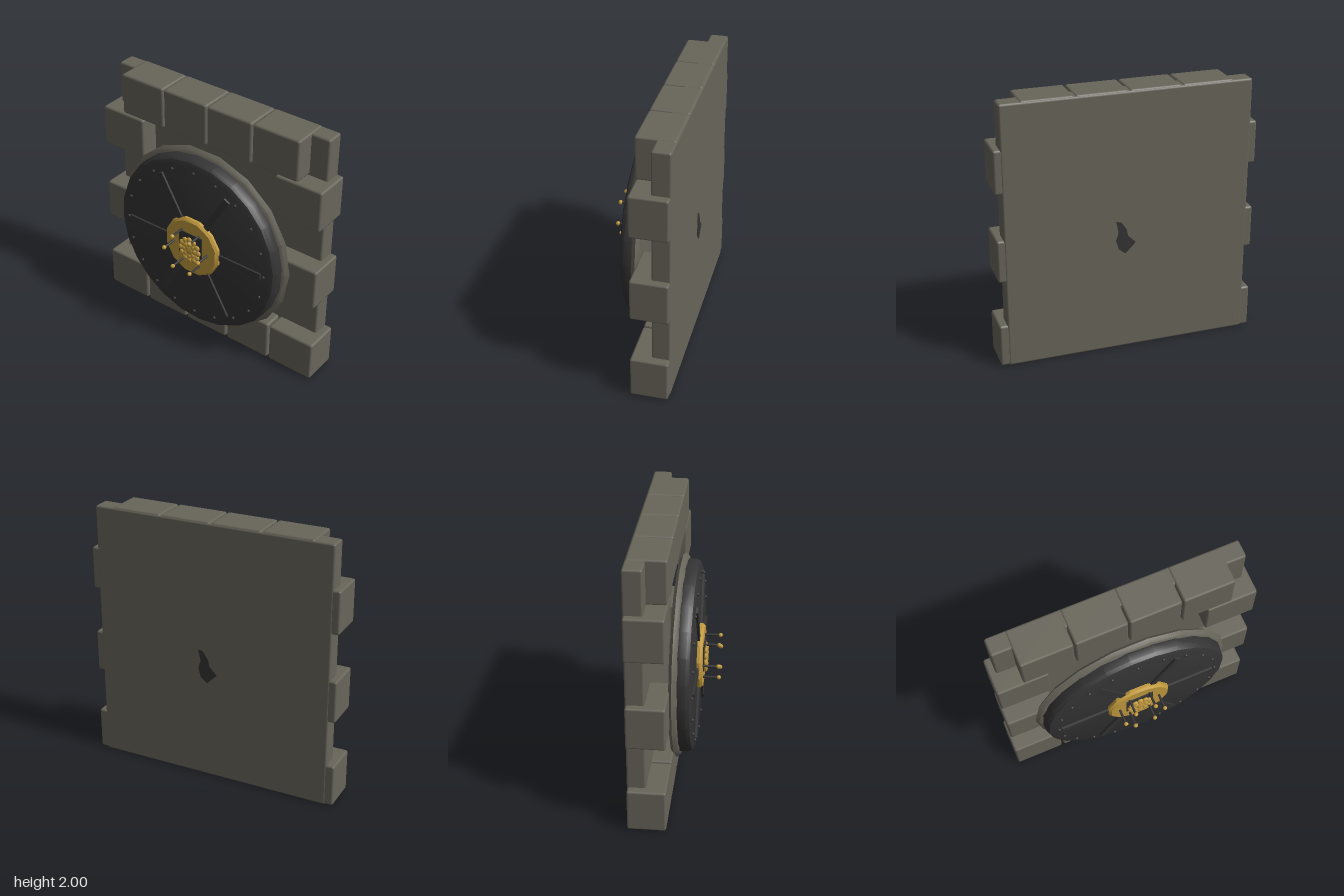
import * as THREE from 'three';
import { toCreasedNormals } from 'three/addons/utils/BufferGeometryUtils.js';
import { RoundedBoxGeometry } from 'three/addons/geometries/RoundedBoxGeometry.js';

const CY = 0.895; // height of the door centre

export function createModel() {
  const mat = (name, color) => {
    const m = new THREE.MeshStandardMaterial({ color });
    m.name = name;
    return m;
  };
  const stone = mat('stone', 0x68655a);
  const iron = mat('darkIron', 0x343434);
  const gold = mat('gold', 0xc29a3e);

  const model = new THREE.Group();
  model.name = 'vaultDoor';
  const add = (parent, name, geo, material, x = 0, y = 0, z = 0) => {
    const mesh = new THREE.Mesh(geo, material);
    mesh.name = name;
    mesh.position.set(x, y, z);
    parent.add(mesh);
    return mesh;
  };
  const group = (name, parent = model) => {
    const g = new THREE.Group();
    g.name = name;
    parent.add(g);
    return g;
  };
  // Box given by its limits, with small chamfers
  const block = (parent, name, x0, x1, y0, y1, z0, z1) => add(parent, name,
    new RoundedBoxGeometry(x1 - x0, y1 - y0, z1 - z0, 1, 0.016), stone,
    (x0 + x1) / 2, (y0 + y1) / 2, (z0 + z1) / 2);
  // Turned disc facing +z; points are [radius, z]
  const turned = (points, sides, start) => toCreasedNormals(
    new THREE.LatheGeometry(points.map(p => new THREE.Vector2(...p)), sides, start)
      .rotateX(Math.PI / 2), 0.5);

  // Wall slab and the blocks around its edge
  const wall = group('wall');
  block(wall, 'wallSlab', -0.92, 0.92, 0, 1.993, -0.3, -0.163);
  for (let i = 0; i < 5; i++) {
    const x = (i - 2) * 0.394;
    block(wall, 'bottomBlock', x - 0.19, x + 0.19, 0.005, 0.328, -0.296, -0.018);
  }
  for (let i = 0; i < 4; i++) {
    const x = (i - 1.5) * 0.389;
    block(wall, 'topBlock', x - 0.19, x + 0.19, 1.678, 2, -0.296, -0.018);
  }
  for (const y of [0.677, 1.348]) {
    block(wall, 'sideBlockLeft', 0.59, 0.97, y, y + 0.322, -0.296, -0.018);
    block(wall, 'sideBlockRight', -0.97, -0.59, y, y + 0.322, -0.296, -0.018);
  }

  // Dark stains on the wall
  const stain = (points, x, y, z) => add(wall, 'stain', new THREE.ExtrudeGeometry(
    new THREE.Shape(points.map(p => new THREE.Vector2(...p))),
    { depth: 0.003, bevelEnabled: false }), iron, x, y, z);
  stain([[0.07, 0.13], [0.03, 0.12], [-0.01, 0.06], [-0.02, 0.01], [-0.08, -0.05],
    [-0.04, -0.09], [0, -0.13], [0.05, -0.09], [0.07, -0.02], [0.05, 0.04]], 0.03, 0.9, -0.302);
  stain([[-0.02, 0.03], [-0.01, -0.01], [0, -0.035], [0.012, -0.005], [0.015, 0.03]],
    -0.47, 1.64, -0.164);

  // Round door: stone rim, iron disc and gold hub
  const door = group('door');
  door.position.y = CY;
  add(door, 'stoneRim', turned([[0, -0.025], [0.735, -0.025], [0.762, -0.002],
    [0.74, 0.025], [0.7, 0.042], [0, 0.042]], 18, Math.PI / 2), stone);
  add(door, 'ironDisc', turned([[0, 0.01], [0.712, 0.01], [0.72, 0.035], [0.715, 0.09],
    [0.7, 0.115], [0.67, 0.128], [0, 0.13]], 24, 0.06), iron);
  add(door, 'hub', turned([[0, 0.125], [0.245, 0.125], [0.247, 0.15], [0.23, 0.167],
    [0, 0.167]], 12, Math.PI / 12), gold);

  // Spokes and the pins standing out of the hub
  for (let i = 0; i < 6; i++) {
    const arm = group('spokeAndPin', door);
    arm.rotation.z = i * Math.PI / 3;
    add(arm, 'spoke', new THREE.BoxGeometry(0.38, 0.048, 0.03), iron, 0.415, 0, 0.13);
    add(arm, 'pinRod', new THREE.CylinderGeometry(0.009, 0.009, 0.13, 8)
      .rotateX(Math.PI / 2), iron, 0.157, 0, 0.215);
    add(arm, 'pinKnob', new THREE.SphereGeometry(0.017, 8, 6), gold, 0.157, 0, 0.283);
  }

  // Rivets around the disc
  for (let i = 0; i < 20; i++) {
    const a = i * Math.PI / 10;
    add(door, 'rivet', new THREE.SphereGeometry(0.013, 8, 6), iron,
      0.627 * Math.cos(a), 0.627 * Math.sin(a), 0.13);
  }

  // Hub ornament: iron plate with a cluster of gold lumps
  add(door, 'ornamentPlate', new THREE.BoxGeometry(0.21, 0.2, 0.008), iron, 0, 0.024, 0.17);
  const ornament = group('ornament', door);
  const lump = (r, x, y, z) =>
    add(ornament, 'lump', new THREE.SphereGeometry(r, 8, 6), gold, x, y, z).scale.z = 0.6;
  lump(0.06, 0, -0.01, 0.165);
  for (const [count, radius, size] of [[12, 0.08, 0.024], [8, 0.048, 0.024]]) {
    for (let i = 0; i < count; i++) {
      const a = (i / count) * Math.PI * 2;
      lump(size, radius * Math.cos(a), radius * 1.1 * Math.sin(a) - 0.012, 0.183);
    }
  }

  return model;
}
